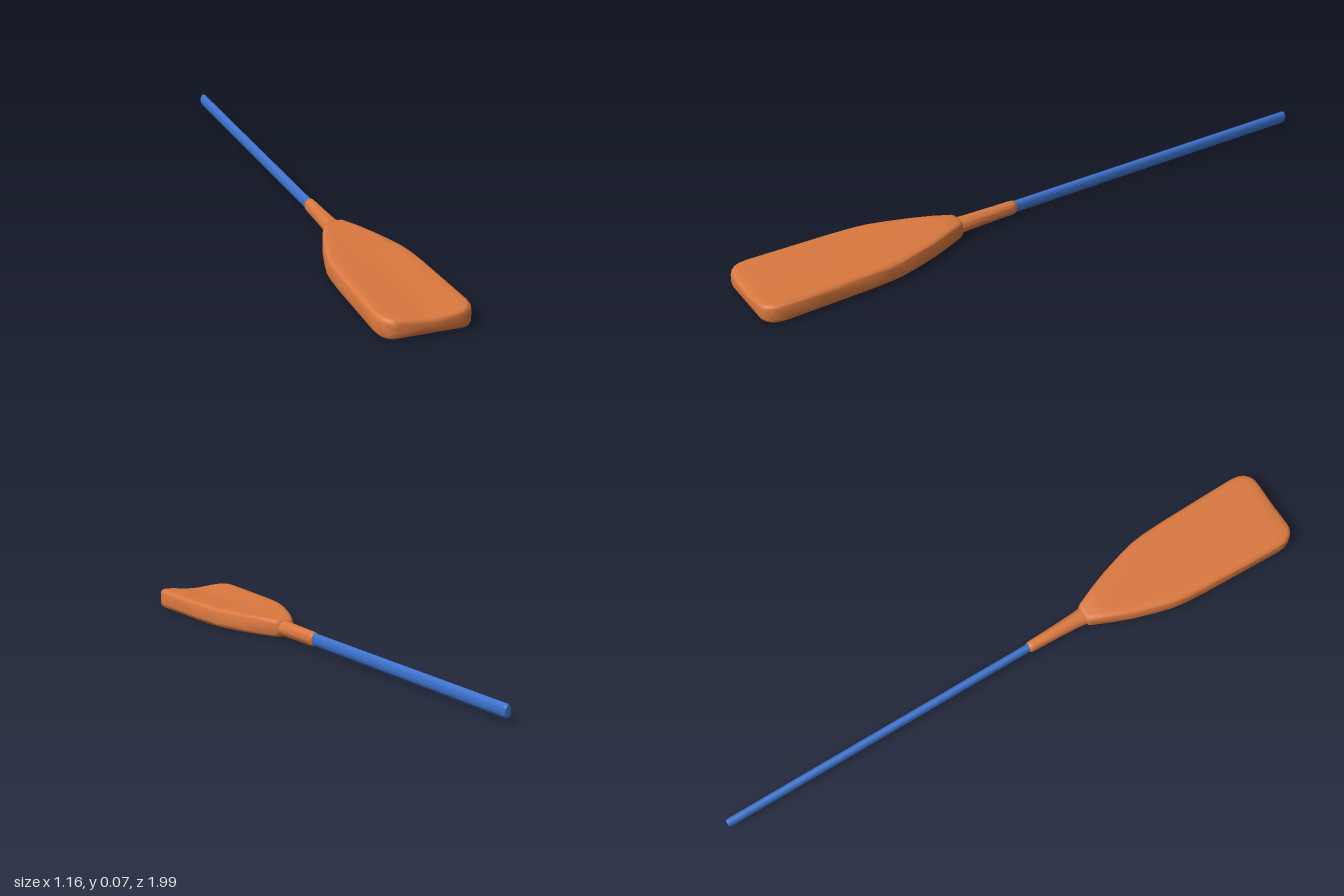
import * as THREE from 'three';
import { toCreasedNormals } from 'three/addons/utils/BufferGeometryUtils.js';

const MID = 0.033; // height of the paddle's axis

// Skin a list of equal-length, counter-clockwise rings that advance along +z, closing both ends.
function loft(rings, crease) {
  const pos = [], idx = [], n = rings[0].length;
  rings.forEach(r => r.forEach(p => pos.push(p.x, p.y, p.z)));
  for (let i = 0; i < rings.length - 1; i++) {
    for (let j = 0; j < n; j++) {
      const a = i * n + j, b = i * n + (j + 1) % n;
      idx.push(a, b, b + n, a, b + n, a + n);
    }
  }
  [0, rings.length - 1].forEach((k, end) => {
    const c = pos.length / 3;
    pos.push(0, MID, rings[k][0].z);
    for (let j = 0; j < n; j++) {
      const a = k * n + j, b = k * n + (j + 1) % n;
      if (end) idx.push(c, a, b); else idx.push(c, b, a);
    }
  });
  const g = new THREE.BufferGeometry();
  g.setAttribute('position', new THREE.Float32BufferAttribute(pos, 3));
  g.setIndex(idx);
  return toCreasedNormals(g, crease);
}

// Oval ring for the shaft and socket
function oval([z, rx, ry]) {
  return Array.from({ length: 24 }, (_, i) => {
    const t = i / 24 * Math.PI * 2;
    return new THREE.Vector3(rx * Math.cos(t), MID + ry * Math.sin(t), z);
  });
}

// Rounded slab ring for the blade, with a shallow groove along the top
function slab([z, w, lo, hi, groove]) {
  const r = Math.min(0.016, (hi - lo) / 2.1), ring = [];
  const corner = (cx, cy, start) => {
    for (let i = 0; i <= 4; i++) {
      const t = start + i / 4 * Math.PI / 2;
      ring.push(new THREE.Vector3(cx + r * Math.cos(t), cy + r * Math.sin(t), z));
    }
  };
  corner(w - r, lo + r, -Math.PI / 2);
  corner(w - r, hi - r, 0);
  for (let i = 1; i < 10; i++) {
    const u = 1 - i / 5;
    const dip = groove * (0.5 + 0.5 * Math.cos(u * Math.PI));
    ring.push(new THREE.Vector3(u * (w - r), hi - dip, z));
  }
  corner(-w + r, hi - r, Math.PI / 2);
  corner(-w + r, lo + r, Math.PI);
  return ring;
}

export function createModel() {
  const blue = new THREE.MeshStandardMaterial({ color: 0x3d72cc });
  blue.name = 'shaftBlue';
  const orange = new THREE.MeshStandardMaterial({ color: 0xd9783f });
  orange.name = 'bladeOrange';

  const paddle = new THREE.Group();
  paddle.name = 'paddle';
  const add = (name, geometry, material) => {
    const mesh = new THREE.Mesh(geometry, material);
    mesh.name = name;
    paddle.add(mesh);
  };

  // Long oval shaft with softened end
  add('shaft', loft([
    [-1.196, 0.010, 0.018], [-1.192, 0.0125, 0.0215], [-1.186, 0.0135, 0.023], [0.02, 0.0135, 0.023],
  ].map(oval), 0.7), blue);

  // Socket flaring from the shaft into the blade
  add('socket', loft([
    [-0.018, 0.015, 0.021], [-0.012, 0.0185, 0.025], [0.0, 0.0195, 0.026], [0.1, 0.023, 0.027],
    [0.17, 0.027, 0.0275], [0.205, 0.031, 0.0275], [0.23, 0.031, 0.027],
  ].map(oval), 0.7), orange);

  // Blade: distance along the axis, half width, bottom, top, groove depth
  add('blade', loft([
    [0.204, 0.028, 0.010, 0.056, 0], [0.209, 0.034, 0.005, 0.062, 0], [0.218, 0.039, 0.002, 0.065, 0],
    [0.28, 0.066, 0.001, 0.067, 0.001], [0.35, 0.093, 0, 0.067, 0.002], [0.43, 0.118, 0, 0.068, 0.003],
    [0.49, 0.134, 0, 0.068, 0.004], [0.54, 0.141, 0, 0.068, 0.005], [0.62, 0.146, 0, 0.068, 0.006],
    [0.8, 0.151, 0, 0.068, 0.007], [0.92, 0.154, 0, 0.068, 0.008], [0.95, 0.151, 0, 0.068, 0.008],
    [0.97, 0.143, 0.001, 0.067, 0.008], [0.984, 0.131, 0.003, 0.065, 0.008],
    [0.993, 0.118, 0.008, 0.061, 0.007], [0.997, 0.105, 0.015, 0.054, 0.005],
  ].map(slab), 0.8), orange);

  // Lay the paddle diagonally on the ground
  paddle.rotation.y = 0.494;
  paddle.position.set(-0.006, 0, 0.063);
  const model = new THREE.Group();
  model.name = 'model';
  model.add(paddle);
  return model;
}
